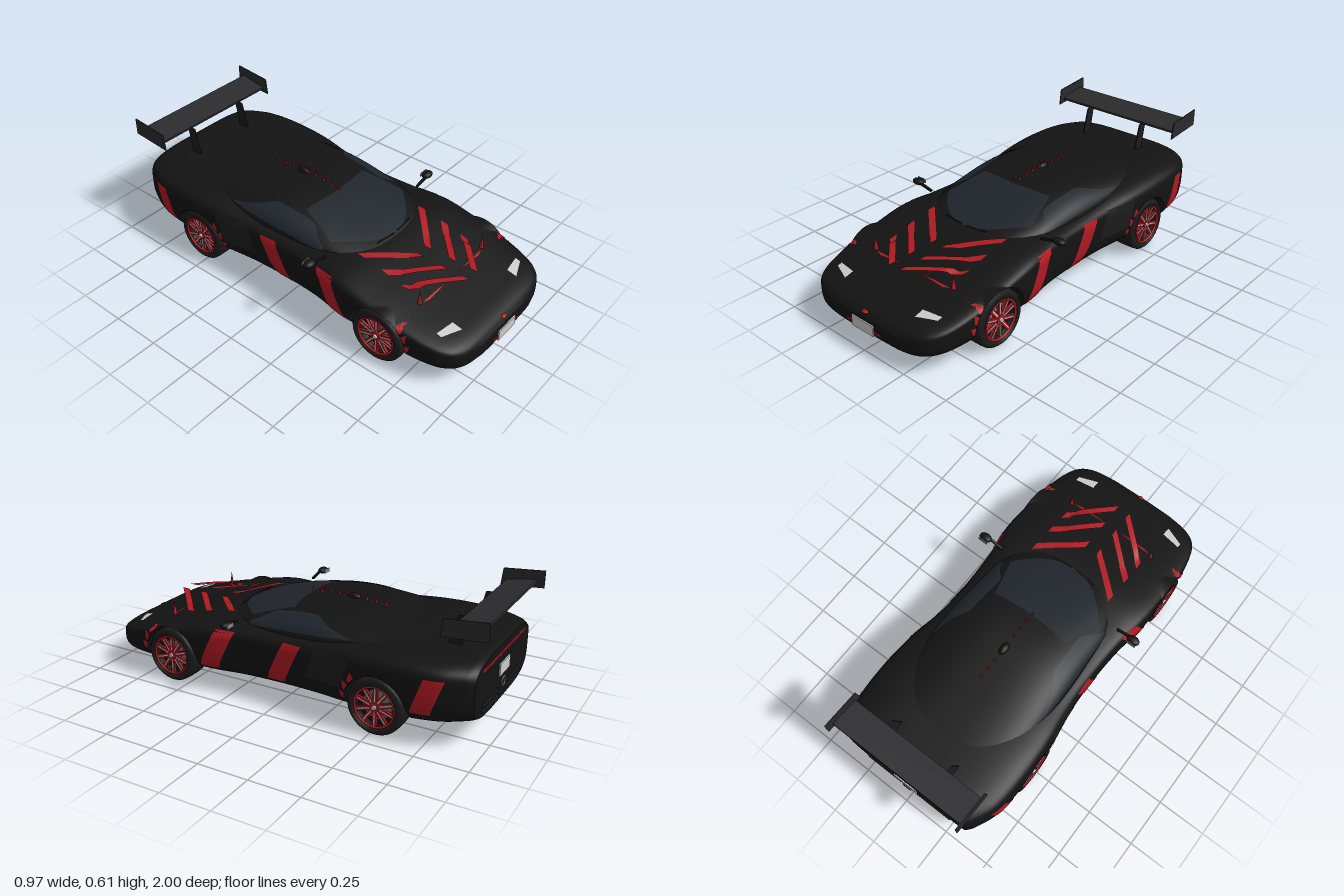
import * as THREE from 'three';

const mat = (color, side = THREE.FrontSide) => new THREE.MeshStandardMaterial({ color, side });
const BLACK = 0x131313, RED = 0xb01a22, GLASS = 0x1e252b, GREY = 0x2b2b2d, PALE = 0xd8d8d8, DARK = 0x1c1c1c;
const SIDES = [-1, 1];
const lerp = THREE.MathUtils.lerp;

// Body stations: z, half width, top y, bottom y, widest y
const BODY = [
  [0.99, 0.22, 0.175, 0.10, 0.14], [0.97, 0.30, 0.198, 0.08, 0.15], [0.93, 0.36, 0.217, 0.065, 0.17],
  [0.85, 0.40, 0.237, 0.055, 0.19], [0.7, 0.425, 0.273, 0.053, 0.22], [0.55, 0.43, 0.311, 0.053, 0.25],
  [0.37, 0.43, 0.35, 0.053, 0.27], [0.2, 0.405, 0.355, 0.053, 0.28], [0, 0.395, 0.357, 0.053, 0.28],
  [-0.2, 0.402, 0.372, 0.053, 0.28], [-0.4, 0.43, 0.395, 0.055, 0.29], [-0.6, 0.44, 0.406, 0.062, 0.29],
  [-0.8, 0.425, 0.401, 0.08, 0.29], [-0.92, 0.375, 0.394, 0.1, 0.28], [-0.95, 0.35, 0.385, 0.11, 0.27],
];
// Canopy stations: z, half width, top y
const CANOPY = [
  [0.42, 0.2, 0.325], [0.37, 0.25, 0.352], [0.2, 0.325, 0.398], [0, 0.345, 0.441], [-0.15, 0.355, 0.455],
  [-0.3, 0.36, 0.447], [-0.5, 0.36, 0.424], [-0.7, 0.36, 0.402], [-0.8, 0.35, 0.38],
];
const CANOPY_BASE = 0.3;

// Smooth interpolation through a station table at z
function at(table, z) {
  let i = 0;
  while (i < table.length - 2 && z < table[i + 1][0]) i++;
  const a = table[i], b = table[i + 1], p = table[Math.max(i - 1, 0)], q = table[Math.min(i + 2, table.length - 1)];
  const h = b[0] - a[0], t = THREE.MathUtils.clamp((z - a[0]) / h, 0, 1), t2 = t * t, t3 = t2 * t;
  return a.map((v, k) => k === 0 ? z :
    (2 * t3 - 3 * t2 + 1) * v + (3 * t2 - 2 * t3) * b[k] +
    (t3 - 2 * t2 + t) * h * (b[k] - p[k]) / (b[0] - p[0]) +
    (t3 - t2) * h * (q[k] - v) / (q[0] - a[0]));
}
const arc = (t, n) => Math.pow(Math.max(0, 1 - Math.pow(Math.min(Math.abs(t), 1), n)), 1 / n);
const power = (v, e) => Math.sign(v) * Math.pow(Math.abs(v), e);

// Surface look-ups used by the panels that lie on the body
function bodyTop(x, z) {
  const [, w, top, , mid] = at(BODY, z);
  return mid + (top - mid) * arc(x / w, 4);
}
function bodySide(y, z) {
  const [, w, top, low, mid] = at(BODY, z);
  return w * arc(y > mid ? (y - mid) / (top - mid) : (mid - y) / (mid - low), 4);
}
function canopyTop(x, z) {
  const [, w, top] = at(CANOPY, z);
  return CANOPY_BASE + (top - CANOPY_BASE) * arc(x / w, 3);
}
function canopySide(y, z) {
  const [, w, top] = at(CANOPY, z);
  return w * arc((y - CANOPY_BASE) / (top - CANOPY_BASE), 3);
}

const AXLES = [0.585, -0.525], WHEEL_R = 0.138, ARCH_R = 0.15;
function bodyPoint(z, angle) {
  const [, w, top, low, mid] = at(BODY, z);
  const c = Math.cos(angle), s = Math.sin(angle);
  const x = w * power(c, 0.5);
  let y = mid + (s > 0 ? top - mid : mid - low) * power(s, 0.5);
  // lift the skin over the wheels to form the arches
  for (const axle of AXLES) {
    const d = Math.abs(z - axle);
    if (d < ARCH_R && Math.abs(x) > 0.28) y = Math.max(y, WHEEL_R + Math.sqrt(ARCH_R ** 2 - d ** 2));
  }
  return [x, y, z];
}

export function createModel() {
  const car = new THREE.Group();
  car.name = 'sportsCar';

  const add = (name, geo, color, pos = [0, 0, 0], rot = [0, 0, 0], parent = car) => {
    const m = new THREE.Mesh(geo, mat(color));
    m.name = name;
    m.position.set(...pos);
    m.rotation.set(...rot);
    parent.add(m);
    return m;
  };
  const box = (name, size, color, pos, rot, parent) => add(name, new THREE.BoxGeometry(...size), color, pos, rot, parent);
  // Curved sheet from a function of u and v
  const sheet = (name, fn, nu, nv, color) => {
    const pos = [], index = [];
    for (let i = 0; i <= nu; i++) for (let j = 0; j <= nv; j++) pos.push(...fn(i / nu, j / nv));
    for (let i = 0; i < nu; i++) for (let j = 0; j < nv; j++) {
      const a = i * (nv + 1) + j, b = a + nv + 1;
      index.push(a, b, a + 1, b, b + 1, a + 1);
    }
    const g = new THREE.BufferGeometry();
    g.setAttribute('position', new THREE.Float32BufferAttribute(pos, 3));
    g.setIndex(index);
    g.computeVertexNormals();
    add(name, g, color).material.side = THREE.DoubleSide;
  };

  // Body shell with flat ends
  sheet('body', (u, v) => bodyPoint(lerp(0.99, -0.95, u), v * Math.PI * 2), 260, 96, BLACK);
  for (const [name, z, y] of [['nose', 0.99, 0.14], ['tail', -0.95, 0.25]]) {
    sheet(name, (u, v) => {
      const p = bodyPoint(z, v * Math.PI * 2);
      return [p[0] * u, lerp(y, p[1], u), z + (1 - u * u) * 0.004 * Math.sign(z)];
    }, 4, 96, BLACK);
  }

  // Cabin roof and glass
  sheet('roof', (u, v) => {
    const z = lerp(0.42, -0.8, u), [, w, top] = at(CANOPY, z), a = v * Math.PI;
    return [w * power(Math.cos(a), 2 / 3), CANOPY_BASE + (top - CANOPY_BASE) * power(Math.sin(a), 2 / 3), z];
  }, 60, 40, BLACK);
  sheet('windscreen', (u, v) => {
    const s = v * 2 - 1, x = s * lerp(0.27, 0.21, u);
    const z = lerp(0.37 - 0.17 * s * s, 0.02 - 0.02 * s * s, u);
    return [x, Math.max(canopyTop(x, z), bodyTop(x, z)) + 0.003, z];
  }, 20, 24, GLASS);
  for (const s of SIDES) {
    sheet('sideWindow', (u, v) => {
      const z = lerp(0.19, -0.38, u), top = at(CANOPY, z)[2];
      const low = lerp(0.345, 0.385, u);
      const high = lerp(low, CANOPY_BASE + (top - CANOPY_BASE) * 0.87, Math.min(1, u * 4 + 0.3, (1 - u) * 2.5));
      const y = lerp(low, high, v);
      return [s * (canopySide(y, z) + 0.003), y + 0.002, z];
    }, 24, 8, GLASS);
    // Wiper
    box('wiper', [0.11, 0.004, 0.006], DARK, [s * 0.07, 0.36, 0.362], [0, s * 0.12, 0]);
  }

  for (const s of SIDES) {
    // Bonnet chevrons
    for (const z0 of [0.55, 0.685, 0.80]) {
      sheet('bonnetStripe', (u, v) => {
        const x = lerp(0.032, 0.235, u), z = z0 - u * 0.185 + lerp(-0.037, 0.005, v);
        return [s * x, Math.max(bodyTop(x, z), canopyTop(x, z)) + 0.003, z];
      }, 12, 3, RED);
    }
    // Slanted side stripes: bottom z, top z, width, y range
    for (const [zb, zt, w, y0, y1] of [[0.42, 0.32, 0.1, 0.115, 0.325], [0.06, -0.04, 0.095, 0.115, 0.325], [-0.69, -0.75, 0.09, 0.16, 0.33]]) {
      sheet('sideStripe', (u, v) => {
        const y = lerp(y0, y1, u), z = lerp(zb, zt, u) - v * w;
        return [s * (bodySide(y, z) + 0.003), y, z];
      }, 10, 5, RED);
    }
    // Red flashes ahead of each wheel arch
    for (const axle of AXLES) {
      for (let k = 0; k < 3; k++) sheet('archFlash', (u, v) => {
        const a = 0.0 + k * 0.32 + u * 0.24, r = ARCH_R + 0.004 + v * (0.012 + 0.02 * u);
        const z = axle + r * Math.cos(a), y = WHEEL_R + r * Math.sin(a);
        return [s * (bodySide(y, z) + 0.004), y, z];
      }, 4, 2, RED);
    }
    // Intake behind the door
    sheet('sideIntake', (u, v) => {
      const y = lerp(0.19, 0.335, u), z = lerp(-0.16, -0.35, v) - 0.05 * u;
      return [s * (bodySide(y, z) + 0.002), y, z];
    }, 6, 6, DARK);
    // Headlight
    sheet('headlight', (u, v) => {
      const x = lerp(0.225, 0.325, u), z = lerp(0.9, 0.86, u) - v * lerp(0.05, 0.025, u);
      return [s * x, bodyTop(x, z) + 0.004, z];
    }, 6, 3, PALE);
    // Bonnet spike
    add('bonnetSpike', new THREE.ConeGeometry(0.011, 0.075, 10), RED, [s * 0.25, 0.312, 0.69]);
    // Door mirror
    const pod = add('mirror', new THREE.SphereGeometry(1, 16, 10), BLACK, [s * 0.451, 0.38, 0.228]);
    pod.scale.set(0.034, 0.016, 0.024);
    box('mirrorGlass', [0.05, 0.02, 0.004], 0x888888, [s * 0.451, 0.38, 0.205]);
    box('mirrorArm', [0.085, 0.01, 0.012], BLACK, [s * 0.395, 0.371, 0.235], [0, 0, s * 0.22]);
  }

  // Row of roof spikes
  for (let i = 0; i < 9; i++) {
    const z = 0.025 - i * 0.049;
    add('roofSpike', new THREE.ConeGeometry(0.008, 0.05, 8), RED, [0, canopyTop(0, z) + 0.018, z]);
  }
  const scoop = add('roofScoop', new THREE.SphereGeometry(1, 16, 8), BLACK, [0, 0.455, -0.2]);
  scoop.scale.set(0.02, 0.018, 0.035);

  // Front plate, badge and grille accents
  box('frontPlate', [0.136, 0.055, 0.006], PALE, [0, 0.13, 0.997]);
  const badge = add('frontBadge', new THREE.SphereGeometry(1, 16, 8), RED, [0, 0.19, 0.972]);
  badge.scale.set(0.02, 0.008, 0.016);
  for (const s of SIDES) box('grilleAccent', [0.04, 0.011, 0.012], RED, [s * 0.088, 0.122, 0.99]);

  // Rear lamp, plate, exhaust and bumper slots
  box('rearLamp', [0.56, 0.012, 0.008], RED, [0, 0.347, -0.952]);
  box('rearPlate', [0.13, 0.06, 0.006], PALE, [0, 0.27, -0.957]);
  add('exhaust', new THREE.TorusGeometry(0.022, 0.005, 8, 24), 0x555555, [0, 0.195, -0.958]);
  for (const y of [0.145, 0.175]) for (const s of SIDES) box('rearSlot', [0.2, 0.012, 0.008], GREY, [s * 0.15, y, -0.952]);

  // Rear wing: blade, struts and end plates
  box('wingBlade', [0.725, 0.012, 0.148], GREY, [0, 0.546, -0.893], [0.17, 0, 0]);
  const plate = (name, pts, x, depth, color) => {
    const g = new THREE.ExtrudeGeometry(new THREE.Shape(pts.map(p => new THREE.Vector2(...p))), { depth, bevelEnabled: false });
    add(name, g, color, [x - depth / 2, 0, 0], [0, Math.PI / 2, 0]);
  };
  for (const s of SIDES) {
    plate('wingStrut', [[0.75, 0.38], [0.81, 0.38], [0.84, 0.54], [0.79, 0.535]], s * 0.17, 0.007, DARK);
    plate('wingEndPlate', [[0.79, 0.508], [1, 0.525], [1, 0.61], [0.8, 0.592]], s * 0.368, 0.006, GREY);
  }

  // Wheels, outer face towards local +y before turning sideways
  const tyre = [[0.098, -0.064], [0.125, -0.064], [0.136, -0.052], [0.138, -0.03], [0.138, 0.03], [0.136, 0.052], [0.125, 0.064], [0.1, 0.064], [0.098, 0.03]];
  for (const s of SIDES) for (const z of AXLES) {
    const wheel = new THREE.Group();
    wheel.name = 'wheel';
    wheel.position.set(s * 0.364, WHEEL_R, z);
    wheel.rotation.z = -s * Math.PI / 2;
    car.add(wheel);
    const none = [0, 0, 0];
    add('tyre', new THREE.LatheGeometry(tyre.map(p => new THREE.Vector2(...p)), 48), DARK, none, none, wheel).material.side = THREE.DoubleSide;
    add('rimBack', new THREE.CylinderGeometry(0.1, 0.1, 0.07, 32), BLACK, [0, -0.015, 0], none, wheel);
    add('brakeDisc', new THREE.CylinderGeometry(0.07, 0.07, 0.01, 32), 0x777777, [0, 0.025, 0], none, wheel);
    add('rimRing', new THREE.TorusGeometry(0.096, 0.006, 8, 40), RED, [0, 0.06, 0], [Math.PI / 2, 0, 0], wheel);
    add('hub', new THREE.CylinderGeometry(0.024, 0.028, 0.03, 20), RED, [0, 0.046, 0], none, wheel);
    add('hubCap', new THREE.CylinderGeometry(0.01, 0.012, 0.012, 12), PALE, [0, 0.064, 0], none, wheel);
    for (let k = 0; k < 10; k++) {
      const a = k * Math.PI / 5, c = Math.cos(a), d = Math.sin(a);
      box('spoke', [0.078, 0.012, 0.02], RED, [c * 0.058, 0.05, -d * 0.058], [0, a, 0], wheel);
      box('spokeTrim', [0.076, 0.004, 0.005], PALE, [c * 0.058, 0.057, -d * 0.058], [0, a, 0], wheel);
    }
  }
  return car;
}
